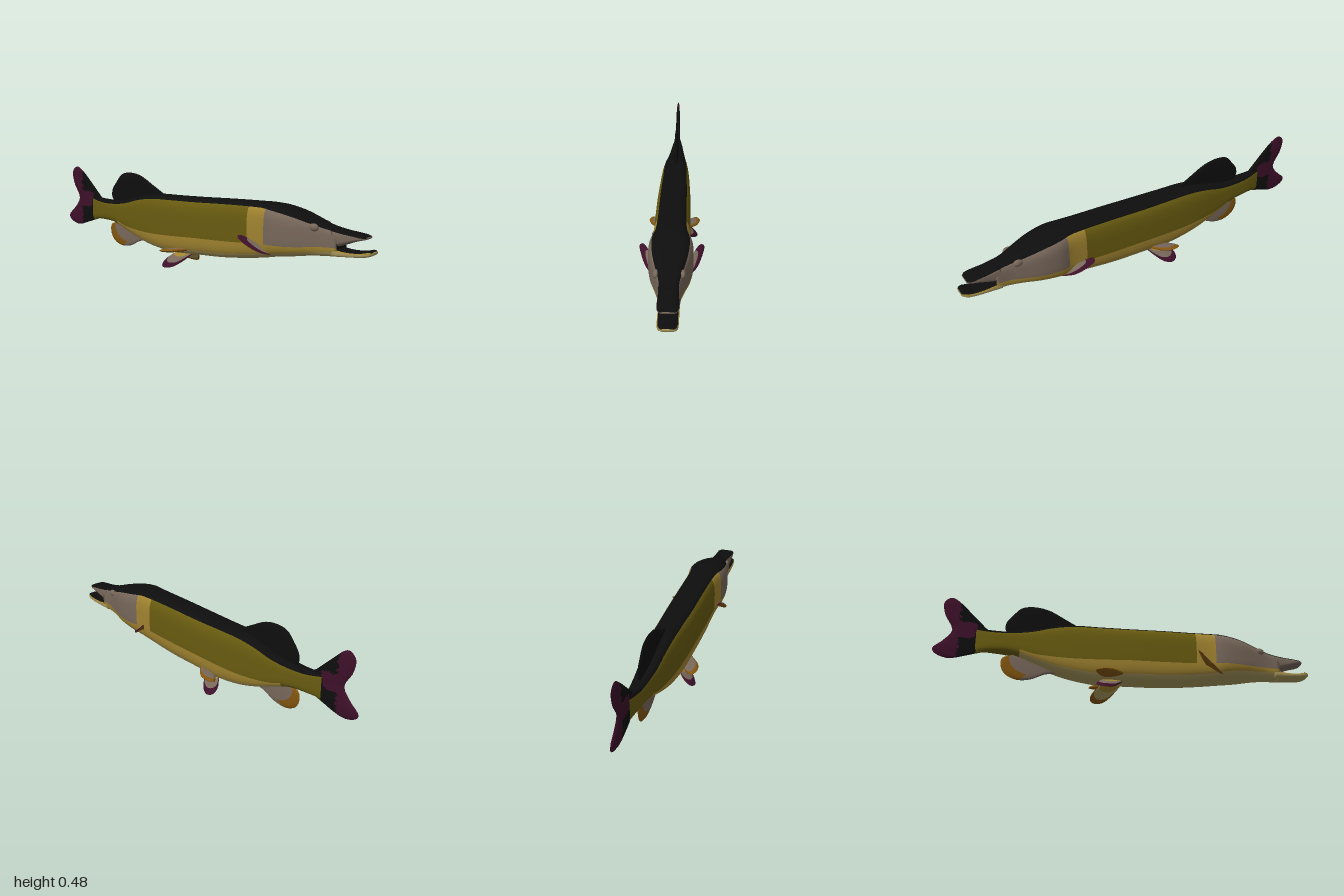
import * as THREE from 'three';

const mat = (name, color) => Object.assign(new THREE.MeshStandardMaterial({ color }), { name });
const MATS = [
  mat('black back', 0x0e0e0e), mat('olive flank', 0x685b10), mat('gold side', 0xa08330),
  mat('cream belly', 0xa8975c), mat('grey brown head', 0x77675a), mat('amber fin', 0x83560f),
  mat('plum fin', 0x3d1029),
];
const [BACK, OLIVE, GOLD, CREAM, HEAD, AMBER, PLUM] = MATS.keys();

// Makes an indexed mesh whose triangles are sorted into one group per colour
function buildMesh(name, positions, buckets) {
  const geo = new THREE.BufferGeometry();
  geo.setAttribute('position', new THREE.Float32BufferAttribute(positions, 3));
  const index = [], used = [];
  buckets.forEach((list, m) => {
    if (!list.length) return;
    geo.addGroup(index.length, list.length, used.length);
    used.push(MATS[m]);
    index.push(...list);
  });
  geo.setIndex(index);
  geo.computeVertexNormals();
  const mesh = new THREE.Mesh(geo, used);
  mesh.name = name;
  return mesh;
}

// Rounded-box cross-sections along z. Station: z, top, bottom, half width,
// then three heights that divide the section into four colour bands.
const P = 0.55, ROWS = [4, 9, 5, 6];
function loft(name, stations, steps, colour, capColour) {
  const curve = new THREE.CubicInterpolant(
    stations.map(s => s[0]), stations.flatMap(s => s.slice(1)), 6, new Float32Array(6));
  const z0 = stations[0][0], z1 = stations.at(-1)[0];
  const half = ROWS.reduce((a, b) => a + b), ring = half * 2;
  const bandOf = ROWS.flatMap((n, b) => Array(n).fill(b));
  const pos = [], buckets = MATS.map(() => []);
  for (let i = 0; i <= steps; i++) {
    const z = THREE.MathUtils.lerp(z0, z1, i / steps);
    const [top, bottom, w, ...cuts] = curve.evaluate(z);
    const mid = (top + bottom) / 2, h = (top - bottom) / 2;
    const toAngle = y => {
      const r = THREE.MathUtils.clamp((y - mid) / h, -1, 1);
      return Math.acos(Math.sign(r) * Math.abs(r) ** (1 / P));
    };
    const edges = [0, ...cuts.map(toAngle), Math.PI], angles = [];
    ROWS.forEach((n, b) => {
      for (let k = 0; k < n; k++) angles.push(THREE.MathUtils.lerp(edges[b], edges[b + 1], k / n));
    });
    angles.push(Math.PI);
    for (let j = 0; j < ring; j++) {
      const a = angles[j <= half ? j : ring - j], c = Math.cos(a);
      const x = w * Math.max(0, Math.sin(a)) ** P * (j <= half ? 1 : -1);
      pos.push(x, mid + h * Math.sign(c) * Math.abs(c) ** P, z);
    }
  }
  for (let i = 0; i < steps; i++) {
    const z = THREE.MathUtils.lerp(z0, z1, (i + 0.5) / steps);
    for (let j = 0; j < ring; j++) {
      const band = bandOf[j < half ? j : ring - 1 - j], k = (j + 1) % ring;
      const a = i * ring + j, b = a + ring, d = i * ring + k, c = d + ring;
      buckets[colour(band, z)].push(a, b, c, a, c, d);
    }
  }
  // End caps
  for (const [s, i] of [[stations[0], 0], [stations.at(-1), steps]]) {
    const centre = pos.length / 3;
    pos.push(0, (s[1] + s[2]) / 2, s[0]);
    for (let j = 0; j < ring; j++) {
      const a = i * ring + j, b = i * ring + (j + 1) % ring;
      buckets[capColour].push(centre, ...(i ? [b, a] : [a, b]));
    }
  }
  return buildMesh(name, pos, buckets);
}

// Lens-shaped fin stretched between a straight root and a curved rim
function fin(name, root, rim, thick, colour, side = 1) {
  const v3 = p => new THREE.Vector3(p[0] * side, p[1], p[2]);
  const [r0, r1] = root.map(v3), curve = new THREE.CatmullRomCurve3(rim.map(v3));
  const U = 40, V = 16, pos = [], buckets = MATS.map(() => []);
  const n = curve.getPoint(0.5).sub(r0.clone().lerp(r1, 0.5)).cross(r1.clone().sub(r0)).normalize();
  for (const s of [1, -1]) {
    const base = pos.length / 3;
    const flat = (u, v) => r0.clone().lerp(r1, u).lerp(curve.getPoint(u), v);
    for (let i = 0; i <= U; i++) for (let j = 0; j <= V; j++) {
      const u = i / U, v = j / V;
      const t = thick * Math.sqrt(1 - v ** 5) * Math.max(0, Math.sin(Math.PI * u)) ** 0.4;
      pos.push(...flat(u, v).addScaledVector(n, s * t));
    }
    for (let i = 0; i < U; i++) for (let j = 0; j < V; j++) {
      const a = base + i * (V + 1) + j, b = a + 1, d = a + V + 1, c = d + 1;
      const u = (i + 0.5) / U, v = (j + 0.5) / V;
      buckets[colour(flat(u, v), v, s * n.y > 0, u)]
        .push(...(s > 0 ? [a, b, c, a, c, d] : [a, c, b, a, d, c]));
    }
  }
  return buildMesh(name, pos, buckets);
}

export function createModel() {
  const fish = new THREE.Group();
  fish.name = 'fish';

  // Trunk and head
  fish.add(loft('body', [
    [-0.80, 0.325, 0.190, 0.010, 0.310, 0.22, 0.20],
    [-0.70, 0.312, 0.195, 0.030, 0.295, 0.22, 0.205],
    [-0.60, 0.312, 0.188, 0.042, 0.295, 0.215, 0.20],
    [-0.50, 0.328, 0.152, 0.054, 0.308, 0.185, 0.168],
    [-0.40, 0.355, 0.116, 0.065, 0.335, 0.172, 0.135],
    [-0.30, 0.372, 0.090, 0.074, 0.352, 0.167, 0.115],
    [-0.15, 0.376, 0.073, 0.082, 0.358, 0.170, 0.10],
    [0.00, 0.380, 0.080, 0.087, 0.362, 0.178, 0.11],
    [0.20, 0.388, 0.090, 0.089, 0.370, 0.185, 0.12],
    [0.38, 0.393, 0.112, 0.090, 0.374, 0.195, 0.14],
    [0.44, 0.394, 0.122, 0.094, 0.374, 0.200, 0.15],
    [0.50, 0.390, 0.135, 0.106, 0.368, 0.202, 0.16],
    [0.60, 0.372, 0.150, 0.099, 0.350, 0.205, 0.175],
    [0.70, 0.343, 0.165, 0.072, 0.322, 0.213, 0.188],
    [0.76, 0.322, 0.170, 0.056, 0.306, 0.218, 0.195],
    [0.83, 0.306, 0.175, 0.049, 0.292, 0.220, 0.198],
  ], 110, (band, z) => {
    if (z < -0.785 || band === 0) return BACK;
    if (z < -0.57) return OLIVE;
    if (band === 1) return z > 0.455 ? HEAD : z > 0.36 ? GOLD : OLIVE;
    return band === 2 ? GOLD : CREAM;
  }, BACK));

  // Open jaws
  fish.add(loft('upperJaw', [
    [0.80, 0.311, 0.216, 0.050, 0.297, 0.25, 0.23],
    [0.86, 0.301, 0.235, 0.048, 0.288, 0.26, 0.245],
    [0.92, 0.293, 0.258, 0.048, 0.283, 0.27, 0.262],
    [0.955, 0.287, 0.268, 0.043, 0.279, 0.275, 0.27],
    [0.968, 0.282, 0.272, 0.032, 0.279, 0.277, 0.275],
  ], 16, band => (band ? HEAD : BACK), HEAD));
  fish.add(loft('lowerJaw', [
    [0.80, 0.220, 0.174, 0.049, 0.213, 0.205, 0.195],
    [0.88, 0.209, 0.181, 0.048, 0.205, 0.20, 0.195],
    [0.95, 0.213, 0.188, 0.047, 0.209, 0.205, 0.20],
    [0.985, 0.222, 0.195, 0.042, 0.217, 0.21, 0.205],
    [1.00, 0.218, 0.203, 0.030, 0.215, 0.212, 0.208],
  ], 20, band => [BACK, GOLD, CREAM, CREAM][band], CREAM));

  // Upright fins, drawn as [z, y]
  const upright = (name, root, rim, thick, colour) => {
    const flat = list => list.map(([z, y]) => [0, y, z]);
    fish.add(fin(name, flat(root), flat(rim), thick, colour));
  };
  upright('dorsalFin', [[-0.24, 0.36], [-0.60, 0.295]],
    [[-0.24, 0.372], [-0.33, 0.42], [-0.42, 0.465], [-0.50, 0.476], [-0.56, 0.462],
      [-0.60, 0.42], [-0.635, 0.37], [-0.637, 0.325], [-0.61, 0.30]], 0.011, () => BACK);
  upright('analFin', [[-0.57, 0.20], [-0.34, 0.12]],
    [[-0.59, 0.19], [-0.645, 0.17], [-0.652, 0.13], [-0.63, 0.083], [-0.57, 0.055],
      [-0.50, 0.062], [-0.43, 0.095], [-0.35, 0.11]], 0.010,
    (p, v, up, u) => (v > 0.68 && u < 0.6 ? AMBER : HEAD));
  upright('tailFin', [[-0.70, 0.30], [-0.70, 0.205]],
    [[-0.72, 0.315], [-0.82, 0.385], [-0.875, 0.46], [-0.92, 0.484], [-0.957, 0.455],
      [-0.948, 0.385], [-0.905, 0.30], [-0.945, 0.24], [-0.995, 0.19], [-0.98, 0.163],
      [-0.915, 0.142], [-0.83, 0.165], [-0.73, 0.197]], 0.012,
    p => (p.z < -0.87 || (p.z < -0.785 && p.y > 0.26 && p.y < 0.345) ? PLUM
      : p.z > -0.78 && p.y < 0.30 ? OLIVE : BACK));

  // Paired fins and eyes
  for (const [side, label] of [[1, 'left'], [-1, 'right']]) {
    fish.add(fin(label + 'PectoralFin', [[0.07, 0.15, 0.50], [0.07, 0.18, 0.42]],
      [[0.08, 0.150, 0.50], [0.12, 0.165, 0.45], [0.148, 0.20, 0.39], [0.157, 0.234, 0.35],
        [0.140, 0.242, 0.35], [0.11, 0.21, 0.38], [0.08, 0.18, 0.42]], 0.008,
      (p, v, up) => (!up ? AMBER : v < 0.7 ? HEAD : PLUM), side));
    fish.add(fin(label + 'MiddleFin', [[0.05, 0.112, -0.02], [0.05, 0.09, -0.13]],
      [[0.06, 0.112, -0.02], [0.10, 0.107, -0.06], [0.13, 0.102, -0.10], [0.137, 0.097, -0.15],
        [0.12, 0.092, -0.182], [0.095, 0.088, -0.17], [0.06, 0.088, -0.13]], 0.011,
      (p, v, up) => (up && v < 0.8 ? HEAD : AMBER), side));
    fish.add(fin(label + 'PelvicFin', [[0.025, 0.085, -0.03], [0.025, 0.085, -0.13]],
      [[0.03, 0.078, -0.03], [0.07, 0.045, -0.06], [0.11, 0.014, -0.10], [0.126, 0.007, -0.14],
        [0.113, 0.014, -0.17], [0.085, 0.036, -0.175], [0.04, 0.072, -0.14]], 0.008,
      (p, v, up, u) => (v < 0.35 ? GOLD : up ? (v > 0.75 ? PLUM : HEAD)
        : v > 0.75 ? AMBER : CREAM), side));
    const eye = new THREE.Mesh(new THREE.SphereGeometry(1, 20, 14), MATS[HEAD]);
    eye.name = label + 'Eye';
    eye.scale.set(0.014, 0.019, 0.026);
    eye.position.set(side * 0.060, 0.307, 0.715);
    fish.add(eye);
  }
  return fish;
}
